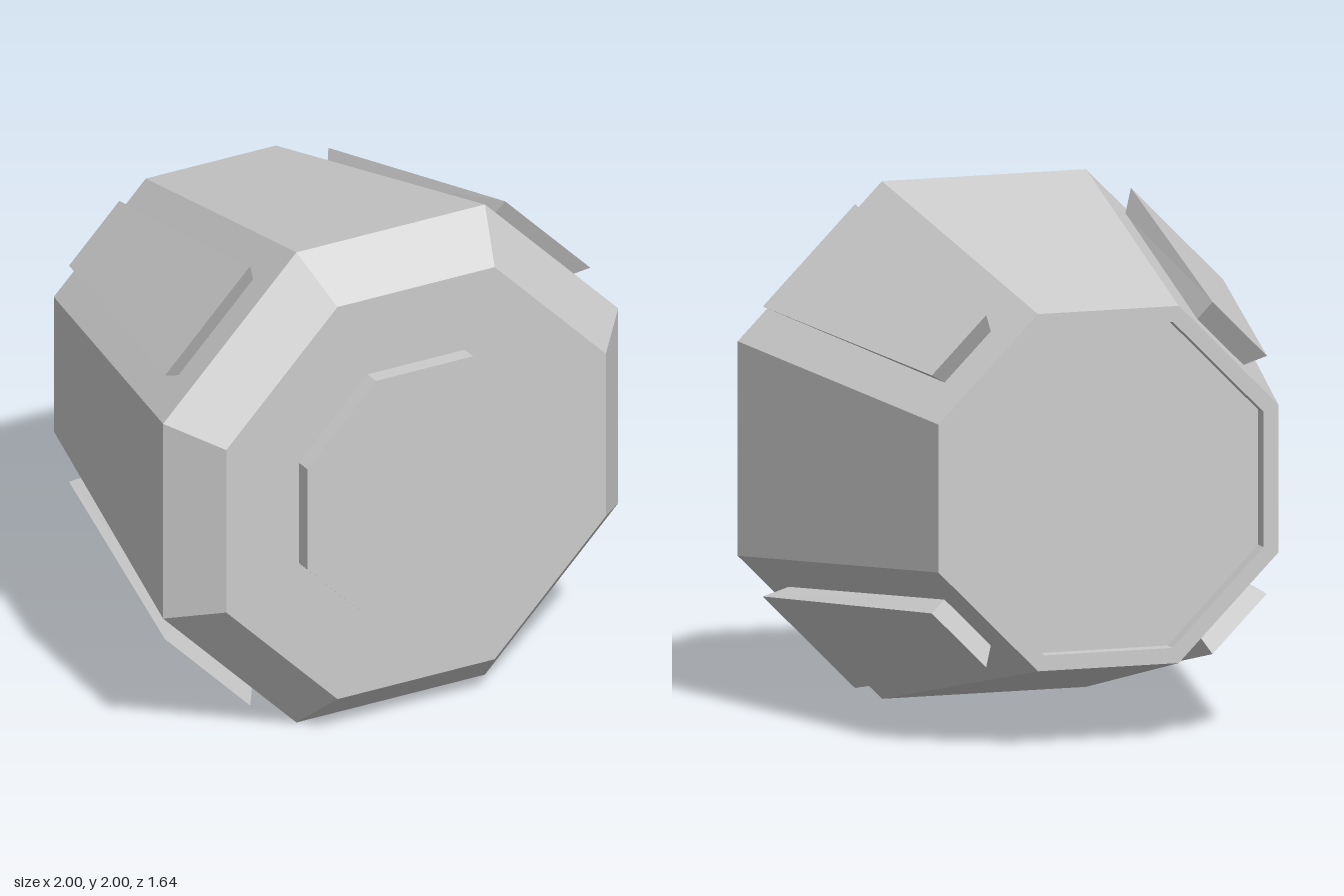
import * as THREE from 'three';

const grey = new THREE.MeshStandardMaterial({ color: 0xcccccc, flatShading: true });

function addPart(group, name, geometry) {
  const flat = geometry.index ? geometry.toNonIndexed() : geometry;
  flat.computeVertexNormals();
  const mesh = new THREE.Mesh(flat, grey);
  mesh.name = name;
  group.add(mesh);
  return mesh;
}

// Eight-sided solid around z; profile is [apothem, z] from back to front.
function octagonal(profile) {
  const points = profile.map(([a, z]) => new THREE.Vector2(a / Math.cos(Math.PI / 8), z));
  return new THREE.LatheGeometry(points, 8, Math.PI / 8).rotateX(Math.PI / 2);
}

// Tapered plate that flares outward from its base, built facing +y.
function plateGeometry() {
  // Each end: half width, distance from axis, z
  const outer = { front: [0.265, 1.057, 0.46], back: [0.156, 0.806, -0.72] };
  const base = { front: [0.23, 0.964, 0.41], back: [0.132, 0.724, -0.66] };
  const geo = new THREE.BoxGeometry(2, 2, 2);
  const pos = geo.attributes.position;
  for (let i = 0; i < pos.count; i++) {
    const ring = pos.getY(i) > 0 ? outer : base;
    const [w, r, z] = pos.getZ(i) > 0 ? ring.front : ring.back;
    pos.setXYZ(i, Math.sign(pos.getX(i)) * w, r, z);
  }
  return geo;
}

export function createModel() {
  const model = new THREE.Group();
  model.name = 'octagonalHousing';

  // Tapered shell with bevelled front and shallow recess in the back
  addPart(model, 'body', octagonal([
    [0, -0.76], [0.63, -0.76], [0.63, -0.82], [0.69, -0.82],
    [1, 0.56], [0.834, 0.755], [0, 0.755],
  ]));

  // Raised disc on the front face
  addPart(model, 'frontBoss', octagonal([[0.515, 0.75], [0.515, 0.82], [0, 0.82]]));

  // Flared plates on the four diagonal sides
  const names = ['upperRightPlate', 'lowerRightPlate', 'lowerLeftPlate', 'upperLeftPlate'];
  names.forEach((name, i) => {
    addPart(model, name, plateGeometry().rotateZ(Math.PI / 4 + i * Math.PI / 2));
  });

  // Lift so the lowest side rests on the ground
  model.children.forEach((part) => { part.position.y = 1; });
  return model;
}
